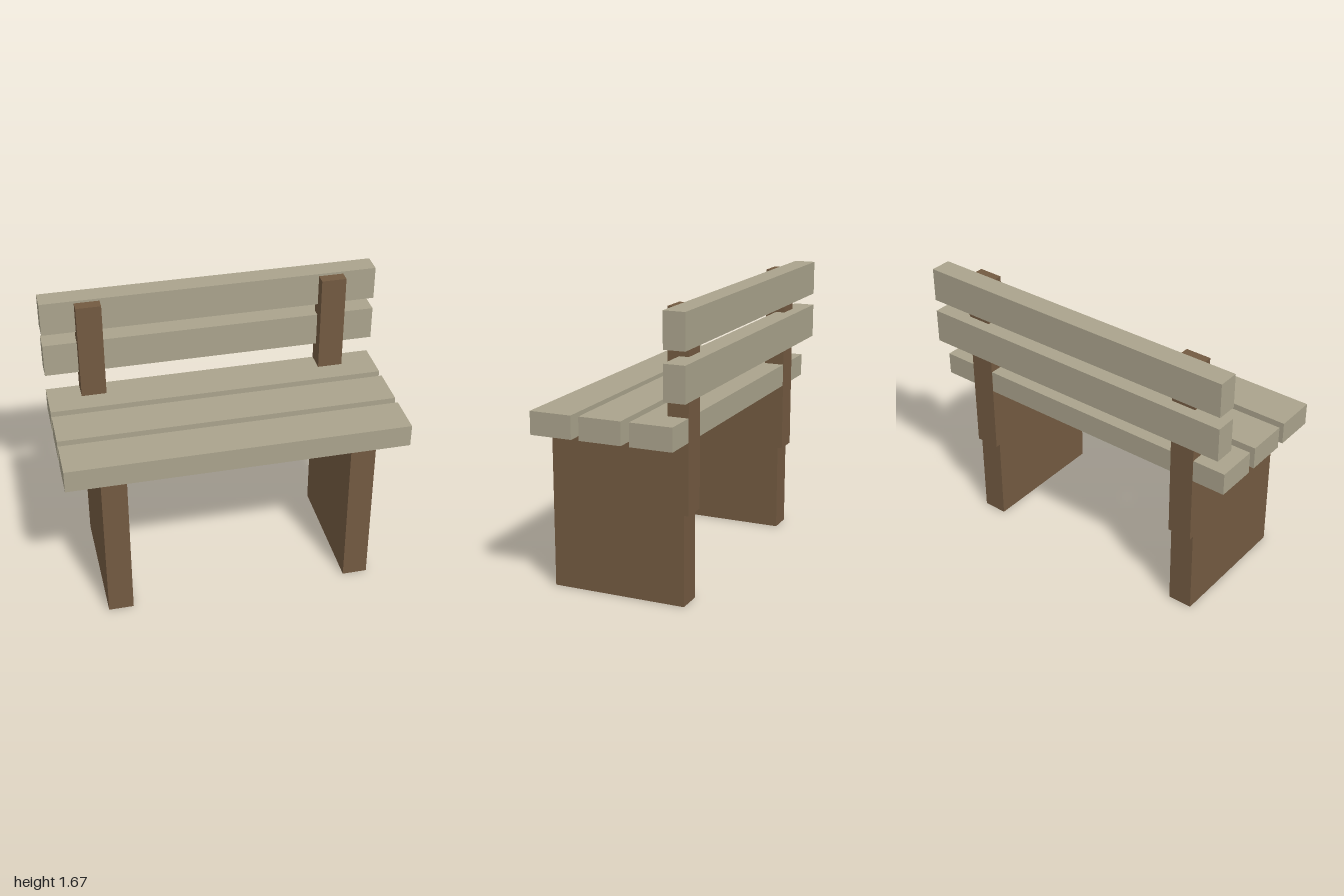
import * as THREE from 'three';

export function createModel() {
  const bench = new THREE.Group();
  bench.name = 'bench';
  const slatWood = new THREE.MeshStandardMaterial({ color: 0xaaa38c, flatShading: true });
  const frameWood = new THREE.MeshStandardMaterial({ color: 0x735a41, flatShading: true });

  // Box given by its limits on each axis
  function board(name, material, [x0, x1], [y0, y1], [z0, z1]) {
    const mesh = new THREE.Mesh(new THREE.BoxGeometry(x1 - x0, y1 - y0, z1 - z0), material);
    mesh.position.set((x0 + x1) / 2, (y0 + y1) / 2, (z0 + z1) / 2);
    mesh.name = name;
    bench.add(mesh);
  }

  // Panel leg and backrest post on each side
  for (const [side, x] of [['left', [0.652, 0.8]], ['right', [-0.8, -0.652]]]) {
    board(side + 'Leg', frameWood, x, [0, 1.003], [-0.36, 0.44]);
    board(side + 'BackPost', frameWood, x, [0.527, 1.66], [-0.388, -0.266]);
  }

  // Three seat slats, front to back
  [0.335, 0.038, -0.261].forEach((z, i) =>
    board('seatSlat' + (i + 1), slatWood, [-1, 1], [0.936, 1.07], [z - 0.125, z + 0.125]));

  // Two backrest slats behind the posts
  [1.299, 1.573].forEach((y, i) =>
    board('backSlat' + (i + 1), slatWood, [-1, 1], [y - 0.101, y + 0.101], [-0.458, -0.333]));

  return bench;
}
